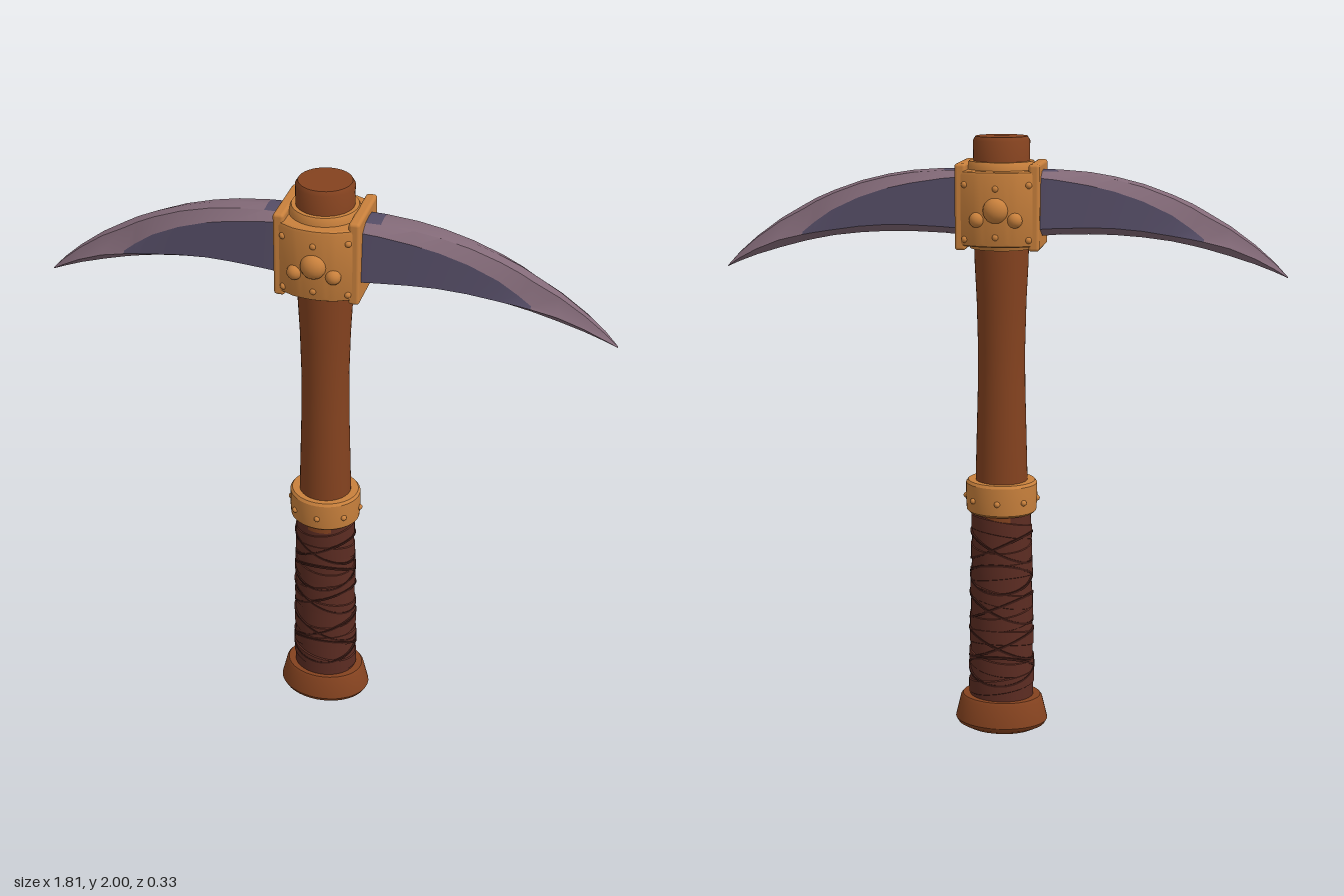
import * as THREE from 'three';
import { toCreasedNormals } from 'three/addons/utils/BufferGeometryUtils.js';
import { RoundedBoxGeometry } from 'three/addons/geometries/RoundedBoxGeometry.js';

const mat = (name, color) => {
  const m = new THREE.MeshStandardMaterial({ color });
  m.name = name;
  return m;
};
const WOOD = mat('wood', 0x84421f);
const BRASS = mat('brass', 0xc8803c);
const LEATHER = mat('leather', 0x5c2c22);
const CREASE = mat('dark leather', 0x3c1b15);
const STEEL = mat('steel edge', 0x836a78);
const DARK = mat('dark steel', 0x554d66);

function add(parent, name, geometry, material, x = 0, y = 0, z = 0) {
  const mesh = new THREE.Mesh(geometry, material);
  mesh.name = name;
  mesh.position.set(x, y, z);
  parent.add(mesh);
  return mesh;
}

// Turned part with an oval section: profile of [radius, y] from bottom to top
function turned(parent, name, profile, material, depth) {
  const pts = profile.map(([r, y]) => new THREE.Vector2(r, y));
  const mesh = add(parent, name, toCreasedNormals(new THREE.LatheGeometry(pts, 40), 0.6), material);
  mesh.scale.z = depth;
  return mesh;
}

// Low dome stud
function stud(parent, r, x, y, z, height = 0.7) {
  const s = add(parent, 'rivet', new THREE.SphereGeometry(r, 16, 10), BRASS, x, y, z);
  s.scale.z = height;
  return s;
}

// Leather strip around the grip, tilted by moving its vertices
const gripRadius = (y) => 0.107 - (y - 0.2) * 0.018;
function wrapBand(parent, y, half, lift, tilt, phase, material, name) {
  const r = gripRadius(y);
  const profile = [
    [r - 0.008, y - half], [r + lift, y - half * 0.75], [r + lift, y + half * 0.75], [r - 0.008, y + half],
  ];
  const geo = new THREE.LatheGeometry(profile.map(([a, b]) => new THREE.Vector2(a, b)), 40);
  const p = geo.attributes.position;
  for (let i = 0; i < p.count; i++) {
    const angle = Math.atan2(p.getZ(i), p.getX(i));
    p.setY(i, p.getY(i) + tilt * Math.cos(angle - phase));
  }
  add(parent, name, toCreasedNormals(geo, 0.7), material).scale.z = 0.82;
}

// One half of the curved pick: [x, top, upper shoulder, lower shoulder, bottom, half depth]
function createBlade() {
  const stations = [
    [0.0, 1.896, 1.875, 1.715, 1.688, 0.086],
    [0.13, 1.896, 1.874, 1.717, 1.69, 0.084],
    [0.18, 1.896, 1.869, 1.72, 1.694, 0.081],
    [0.28, 1.889, 1.853, 1.723, 1.697, 0.074],
    [0.36, 1.876, 1.835, 1.722, 1.696, 0.068],
    [0.45, 1.854, 1.805, 1.714, 1.69, 0.061],
    [0.54, 1.822, 1.763, 1.7, 1.679, 0.054],
    [0.6, 1.796, 1.722, 1.69, 1.667, 0.049],
    [0.64, 1.774, 1.69, 1.682, 1.658, 0.045],
    [0.72, 1.728, 1.67, 1.662, 1.636, 0.037],
    [0.8, 1.67, 1.635, 1.63, 1.611, 0.027],
    [0.86, 1.618, 1.6, 1.598, 1.588, 0.017],
    [0.903, 1.572, 1.571, 1.57, 1.569, 0.003],
  ];
  const rings = stations.map(([x, top, up, low, bottom, d]) => {
    const half = [[top - (top - up) * 0.15, 0.45], [up, 0.85], [low, 1], [bottom, 0.3]];
    const side = half.map(([y, k]) => [x, y, d * k]);
    const other = half.map(([y, k]) => [x, y, -d * k]).reverse();
    return [[x, top, 0], ...side, ...other];
  });
  const edge = [], panel = [];
  const n = rings[0].length;
  for (let i = 0; i < rings.length - 1; i++) {
    for (let j = 0; j < n; j++) {
      const k = (j + 1) % n;
      const a = rings[i][j], b = rings[i][k], c = rings[i + 1][k], d = rings[i + 1][j];
      const flank = (j === 2 || j === 6) && stations[i][0] < 0.62;
      const root = (j === 0 || j === n - 1) && stations[i][0] < 0.15;
      (flank || root ? panel : edge).push(...a, ...b, ...d, ...b, ...c, ...d);
    }
  }
  const blade = new THREE.Group();
  blade.name = 'pickBlade';
  for (const [name, data, material] of [['bladeEdge', edge, STEEL], ['bladePanel', panel, DARK]]) {
    const geo = new THREE.BufferGeometry();
    geo.setAttribute('position', new THREE.Float32BufferAttribute(data, 3));
    add(blade, name, toCreasedNormals(geo, 0.55), material);
  }
  return blade;
}

// Brass head socket with bowed front and back
function createSocket() {
  const socket = new THREE.Group();
  socket.name = 'headSocket';
  const s = new THREE.Shape();
  s.moveTo(-0.11, -0.1);
  s.lineTo(-0.065, -0.122);
  s.quadraticCurveTo(0, -0.14, 0.065, -0.122);
  s.lineTo(0.11, -0.1);
  s.lineTo(0.11, 0.1);
  s.lineTo(0.065, 0.122);
  s.quadraticCurveTo(0, 0.14, -0.065, 0.122);
  s.lineTo(-0.11, 0.1);
  const body = new THREE.ExtrudeGeometry(s, {
    depth: 0.21, bevelEnabled: true, bevelThickness: 0.012, bevelSize: 0.008, bevelSegments: 2, curveSegments: 10,
  });
  body.rotateX(-Math.PI / 2);
  add(socket, 'socketBody', toCreasedNormals(body, 0.5), BRASS, 0, 1.675, 0);
  for (const side of [-1, 1]) {
    add(socket, 'sideFrame', new RoundedBoxGeometry(0.035, 0.27, 0.215, 3, 0.01), BRASS, side * 0.116, 1.784, 0);
  }
  turned(socket, 'topRing', [[0.09, 1.87], [0.11, 1.88], [0.11, 1.908], [0.102, 1.922], [0.085, 1.922]], BRASS, 1);
  turned(socket, 'bottomRing', [[0.08, 1.648], [0.1, 1.648], [0.108, 1.67], [0.09, 1.69]], BRASS, 1);
  // Rivets on both faces
  for (const f of [-1, 1]) {
    stud(socket, 0.04, 0, 1.778, f * 0.134, 0.8);
    for (const x of [-1, 1]) {
      stud(socket, 0.024, x * 0.06, 1.748, f * 0.128, 0.95);
      for (const y of [1.685, 1.855]) stud(socket, 0.011, x * 0.1, y, f * 0.11, 1);
    }
    stud(socket, 0.01, 0, 1.695, f * 0.138);
    stud(socket, 0.01, 0, 1.845, f * 0.138);
  }
  return socket;
}

export function createModel() {
  const model = new THREE.Group();
  model.name = 'pickaxe';

  // Wooden shaft, top knob and pommel
  turned(model, 'shaft', [
    [0.086, 0.75], [0.085, 0.9], [0.081, 1.05], [0.077, 1.2], [0.076, 1.32], [0.08, 1.48], [0.086, 1.6], [0.088, 1.7],
  ], WOOD, 0.95);
  turned(model, 'topKnob', [[0.088, 1.85], [0.09, 1.985], [0.082, 1.998], [0, 2]], WOOD, 1);
  turned(model, 'pommel', [
    [0, 0], [0.07, 0.007], [0.12, 0.021], [0.148, 0.036], [0.156, 0.05], [0.138, 0.125], [0.131, 0.134], [0, 0.136],
  ], WOOD, 0.77);

  // Leather grip with criss-cross wraps
  const grip = new THREE.Group();
  grip.name = 'grip';
  model.add(grip);
  turned(grip, 'gripCore', [[0.107, 0.12], [gripRadius(0.4), 0.4], [gripRadius(0.79), 0.79]], LEATHER, 0.82);
  for (let i = 0; i < 8; i++) {
    const y = 0.185 + i * 0.077;
    const tilt = (i % 2 ? 1 : -1) * 0.02;
    wrapBand(grip, y, 0.03, 0.003, tilt, i * 0.8, LEATHER, 'leatherWrap');
  }
  for (const [y, phase] of [[0.24, 1.57], [0.32, 0], [0.45, 0.3], [0.56, 1.57], [0.66, 0.2]]) {
    for (const sign of [-1, 1]) wrapBand(grip, y, 0.005, 0.005, sign * 0.05, phase, CREASE, 'wrapCrease');
  }

  // Brass collar with rivets
  turned(model, 'collar', [
    [0.085, 0.777], [0.108, 0.777], [0.115, 0.784], [0.118, 0.83], [0.117, 0.876], [0.11, 0.885], [0.083, 0.885],
  ], BRASS, 0.89);
  for (let i = 0; i < 8; i++) {
    const a = (i * Math.PI) / 4;
    stud(model, 0.01, 0.117 * Math.cos(a), 0.825, 0.104 * Math.sin(a), 1);
  }

  // Head
  model.add(createSocket());
  for (const turn of [0, Math.PI]) {
    const blade = createBlade();
    blade.rotation.y = turn;
    model.add(blade);
  }
  return model;
}
